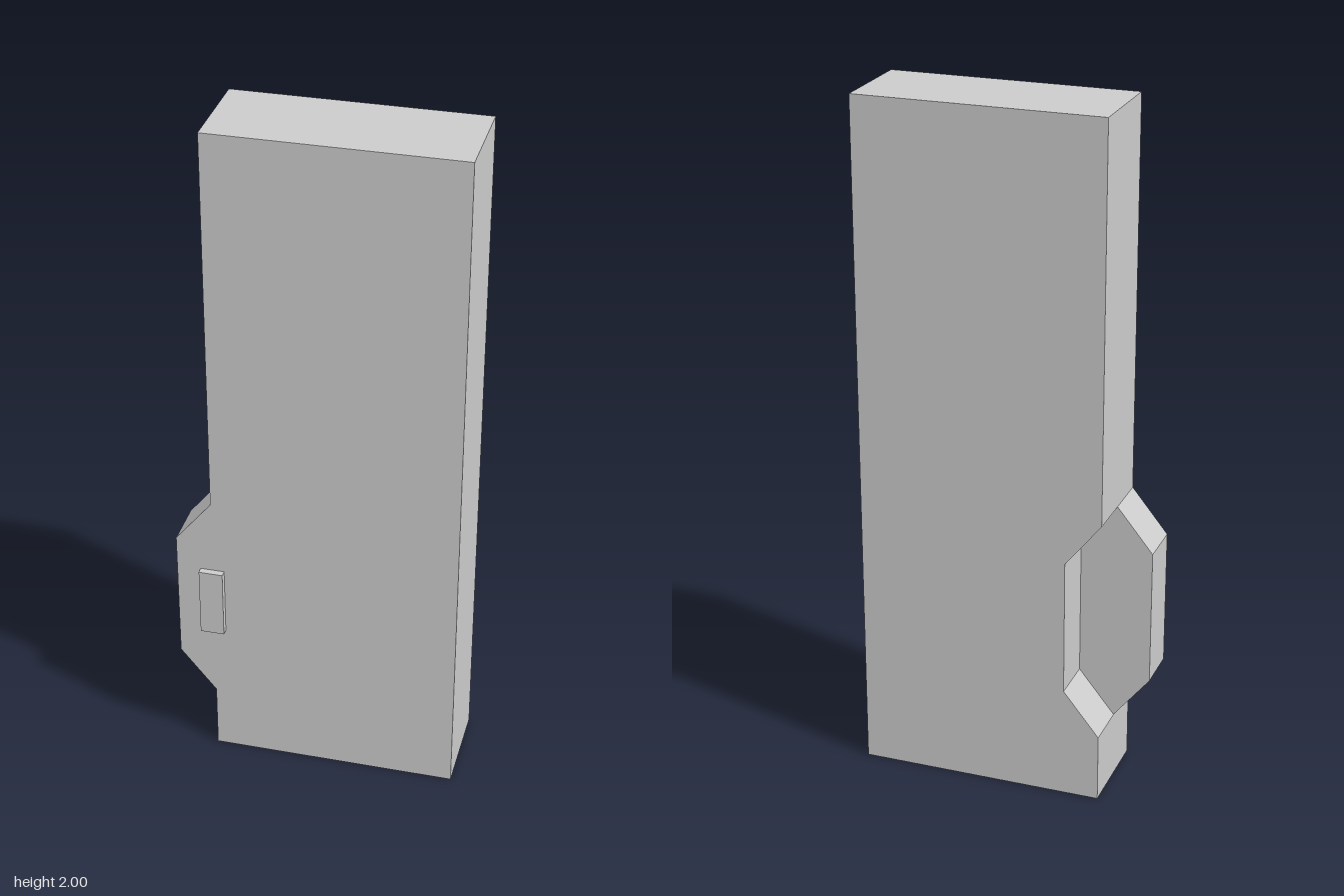
import * as THREE from 'three';
import { mergeGeometries } from 'three/addons/utils/BufferGeometryUtils.js';

const LEFT = -0.305, RIGHT = 0.41, HEIGHT = 2;
const BACK = -0.152, MIDDLE = -0.01, FRONT = 0.132;
const REACH = 0.105; // how far the lug stands out and the notch cuts in
const [Y0, Y1, Y2, Y3] = [0.2, 0.33, 0.73, 0.86];

// Panel outline whose side bulges out (lug) or in (notch) at the given x
const outline = (x) => [
  [LEFT, 0], [RIGHT, 0], [RIGHT, HEIGHT], [LEFT, HEIGHT],
  [LEFT, Y3], [x, Y2], [x, Y1], [LEFT, Y0],
];

// Flat face at depth z, looking forward or backward
function face(points, z, forward) {
  const s = forward ? 1 : -1;
  const shape = new THREE.Shape(points.map(([x, y]) => new THREE.Vector2(s * x, y)));
  const geo = new THREE.ShapeGeometry(shape);
  if (!forward) geo.rotateY(Math.PI);
  return geo.translate(0, 0, z).toNonIndexed().deleteAttribute('uv');
}

// Side walls around an outline, without caps
function walls(points, z0, z1) {
  const pos = [];
  points.forEach(([ax, ay], i) => {
    const [bx, by] = points[(i + 1) % points.length];
    pos.push(ax, ay, z0, bx, by, z0, bx, by, z1);
    pos.push(ax, ay, z0, bx, by, z1, ax, ay, z1);
  });
  const geo = new THREE.BufferGeometry();
  geo.setAttribute('position', new THREE.Float32BufferAttribute(pos, 3));
  geo.computeVertexNormals();
  return geo;
}

export function createModel() {
  const group = new THREE.Group();
  const material = new THREE.MeshStandardMaterial({ color: 0xcccccc, flatShading: true });
  const add = (name, geo) => {
    const mesh = new THREE.Mesh(geo, material);
    mesh.name = name;
    group.add(mesh);
    return mesh;
  };

  // Panel: front half carries the lug, back half has the matching notch
  const frontOutline = outline(LEFT - REACH);
  const backOutline = outline(LEFT + REACH);
  const step = [
    [LEFT, Y3], [LEFT - REACH, Y2], [LEFT - REACH, Y1],
    [LEFT, Y0], [LEFT + REACH, Y1], [LEFT + REACH, Y2],
  ];
  add('panel', mergeGeometries([
    face(frontOutline, FRONT, true),
    walls(frontOutline, MIDDLE, FRONT),
    face(step, MIDDLE, false), // back of the lug and floor of the notch
    walls(backOutline, BACK, MIDDLE),
    face(backOutline, BACK, false),
  ]));

  // Small raised plate in front of the lug
  add('raisedPlate', new THREE.BoxGeometry(0.07, 0.21, 0.02))
    .position.set(LEFT, 0.53, FRONT + 0.01);

  return group;
}
